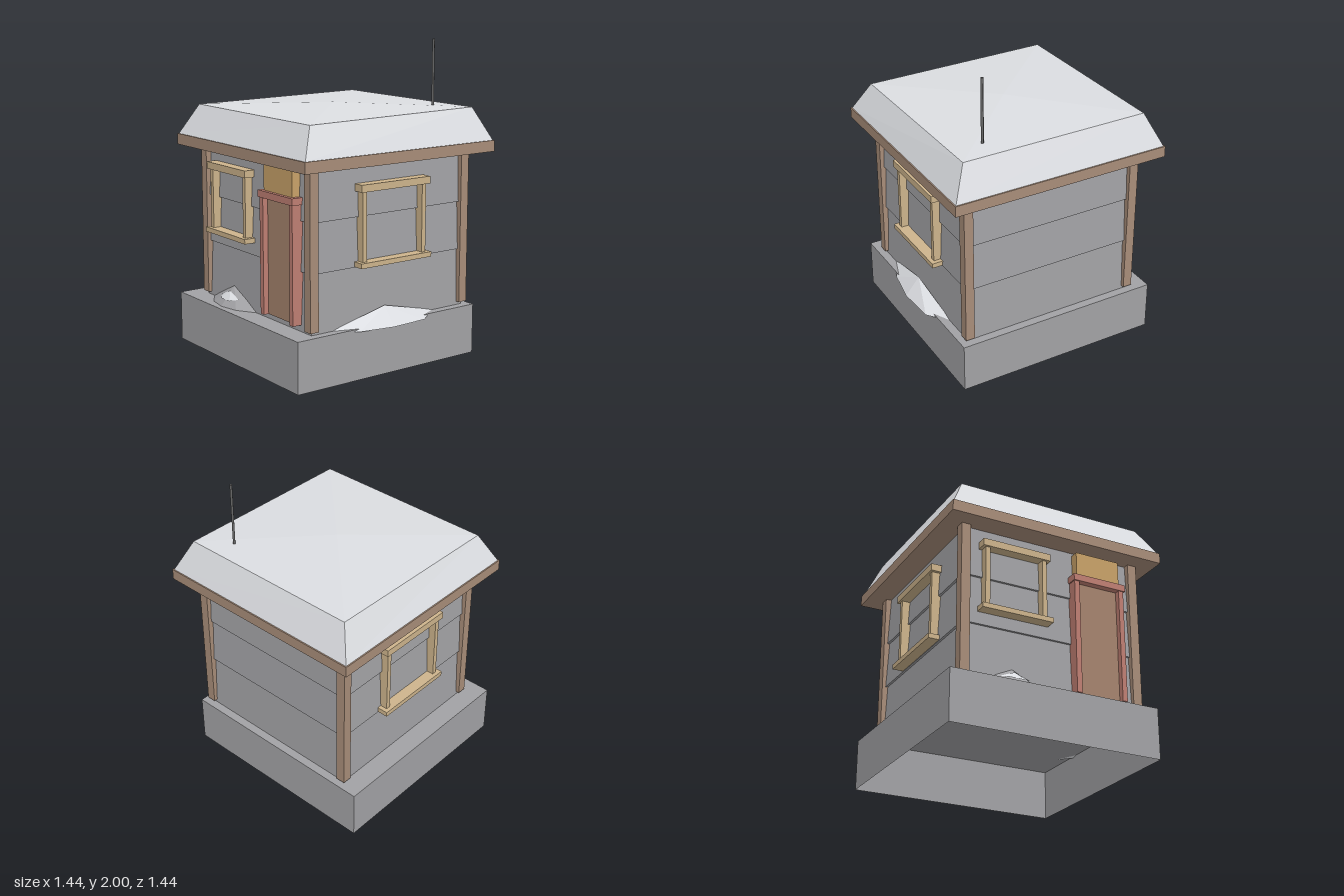
import * as THREE from 'three';

const mat = (name, color, side = THREE.FrontSide) =>
  Object.assign(new THREE.MeshStandardMaterial({ color, side }), { name });

export function createModel() {
  const grey = mat('grey siding', 0xa2a2a5, THREE.DoubleSide);
  const snow = mat('snow', 0xdcdee2, THREE.DoubleSide);
  const brown = mat('brown timber', 0xa88d79);
  const tan = mat('tan trim', 0xcdb48c);
  const red = mat('red trim', 0xbf7f73);
  const doorBrown = mat('door brown', 0xa6846e);
  const ochre = mat('ochre panel', 0xc9a269);
  const metal = mat('dark metal', 0x6c6c6c);

  const model = new THREE.Group();
  model.name = 'cabin';

  const add = (parent, name, geometry, material) => {
    const mesh = new THREE.Mesh(geometry, material);
    mesh.name = name;
    parent.add(mesh);
    return mesh;
  };
  // Box given by its limits on each axis
  const box = (parent, name, material, x0, x1, y0, y1, z0, z1) => {
    const mesh = add(parent, name, new THREE.BoxGeometry(x1 - x0, y1 - y0, z1 - z0), material);
    mesh.position.set((x0 + x1) / 2, (y0 + y1) / 2, (z0 + z1) / 2);
    return mesh;
  };
  // Flat-shaded faces from a list of triangles
  const facets = (triangles) => {
    const g = new THREE.BufferGeometry();
    g.setAttribute('position', new THREE.Float32BufferAttribute(triangles.flat(2), 3));
    g.computeVertexNormals();
    return g;
  };
  // Fan of faces from an apex to an outline running left to right
  const fan = (apex, outline) =>
    facets(outline.slice(1).map((p, i) => [apex, outline[i], p]));

  // Plinth, open underneath
  const base = box(model, 'plinth', grey, -0.72, 0.64, 0, 0.32, -0.64, 0.72);
  const index = Array.from(base.geometry.index.array);
  index.splice(18, 6);
  base.geometry.setIndex(index);
  base.geometry.clearGroups();

  // Three overlapping siding boards, each leaning out at its foot
  const levels = [0.32, 0.685, 0.99, 1.32];
  for (let i = 0; i < 3; i++) {
    const h = levels[i + 1] - levels[i];
    const g = new THREE.CylinderGeometry(0.57 * Math.SQRT2, 0.585 * Math.SQRT2, h, 4)
      .rotateY(Math.PI / 4).toNonIndexed();
    g.computeVertexNormals();
    add(model, 'sidingBoard', g, grey).position.y = levels[i] + h / 2;
  }

  // Corner posts
  for (const x of [-0.578, 0.578])
    for (const z of [-0.578, 0.578])
      box(model, 'cornerPost', brown, x - 0.03, x + 0.03, 0.34, 1.315, z - 0.03, z + 0.03);

  // Roof slab
  box(model, 'roofSlab', brown, -0.72, 0.72, 1.31, 1.38, -0.72, 0.72);

  // Roof snow: sloped sides and a low, uneven peak
  const low = [[-1, 1], [1, 1], [1, -1], [-1, -1]].map(([x, z]) => [x * 0.712, 1.38, z * 0.712]);
  const high = [[-0.617, 1.572, 0.612], [0.615, 1.567, 0.612], [0.615, 1.585, -0.62], [-0.617, 1.588, -0.62]];
  const peak = [0, 1.602, 0];
  const roofFaces = [];
  for (let i = 0; i < 4; i++) {
    const j = (i + 1) % 4;
    roofFaces.push([low[i], low[j], high[j]], [low[i], high[j], high[i]], [peak, high[i], high[j]]);
  }
  add(model, 'roofSnow', facets(roofFaces), snow);

  // Antenna
  add(model, 'antenna', new THREE.CylinderGeometry(0.01, 0.01, 0.43, 4), metal)
    .position.set(0.41, 1.785, -0.475);

  // Window frame on a wall facing +z, centred on x
  const windowFrame = (parent, name, cx, y, half) => {
    const g = new THREE.Group();
    g.name = name;
    g.position.x = cx;
    parent.add(g);
    box(g, 'lintel', tan, -half, half, y + 0.41, y + 0.455, 0.57, 0.645);
    box(g, 'sill', tan, -half - 0.008, half + 0.008, y - 0.001, y + 0.03, 0.57, 0.655);
    for (const s of [-1, 1]) {
      const jamb = box(g, 'jamb', tan, -0.015, 0.015, y + 0.03, y + 0.41, 0.57, 0.63);
      jamb.position.x = s * (half - 0.035);
    }
    return g;
  };
  windowFrame(model, 'frontWindow', -0.255, 0.765, 0.225);
  for (const s of [-1, 1]) {
    const g = windowFrame(model, 'sideWindow', 0, 0.69, 0.262);
    // Side frames are slightly taller than the front one
    for (const part of g.children) {
      if (part.name === 'lintel') part.position.y += 0.045;
      if (part.name === 'jamb') { part.position.y += 0.0225; part.scale.y = 0.425 / 0.38; }
    }
    g.rotation.y = s * Math.PI / 2;
  }

  // Door with its frame and the panel above
  const door = new THREE.Group();
  door.name = 'door';
  model.add(door);
  box(door, 'doorLeaf', doorBrown, 0.168, 0.45, 0.36, 1.09, 0.56, 0.61);
  box(door, 'doorJamb', red, 0.135, 0.17, 0.36, 1.088, 0.56, 0.645);
  box(door, 'doorJamb', red, 0.448, 0.481, 0.36, 1.088, 0.56, 0.645);
  box(door, 'doorLintel', red, 0.128, 0.49, 1.087, 1.13, 0.56, 0.653);
  box(door, 'panelAboveDoor', ochre, 0.16, 0.46, 1.13, 1.29, 0.56, 0.63);

  // Drift with a snow cap against the front wall
  add(model, 'frontDrift', fan([-0.265, 0.44, 0.585],
    [[-0.52, 0.32, 0.58], [-0.4, 0.32, 0.66], [-0.265, 0.32, 0.685], [-0.13, 0.32, 0.66], [0, 0.32, 0.58]]), grey);
  add(model, 'frontDriftCap', fan([-0.265, 0.412, 0.617],
    [[-0.36, 0.372, 0.62], [-0.315, 0.36, 0.657], [-0.21, 0.36, 0.657], [-0.16, 0.375, 0.62]]), snow);

  // Wide drift against the left wall, spilling past the plinth edge
  const drift = add(model, 'sideDrift', fan([-0.05, 0.42, 0.6],
    [[-0.45, 0.318, 0.58], [-0.28, 0.305, 0.655], [-0.05, 0.305, 0.695], [0.2, 0.305, 0.68], [0.36, 0.318, 0.58]]), snow);
  drift.rotation.y = Math.PI / 2;

  return model;
}
